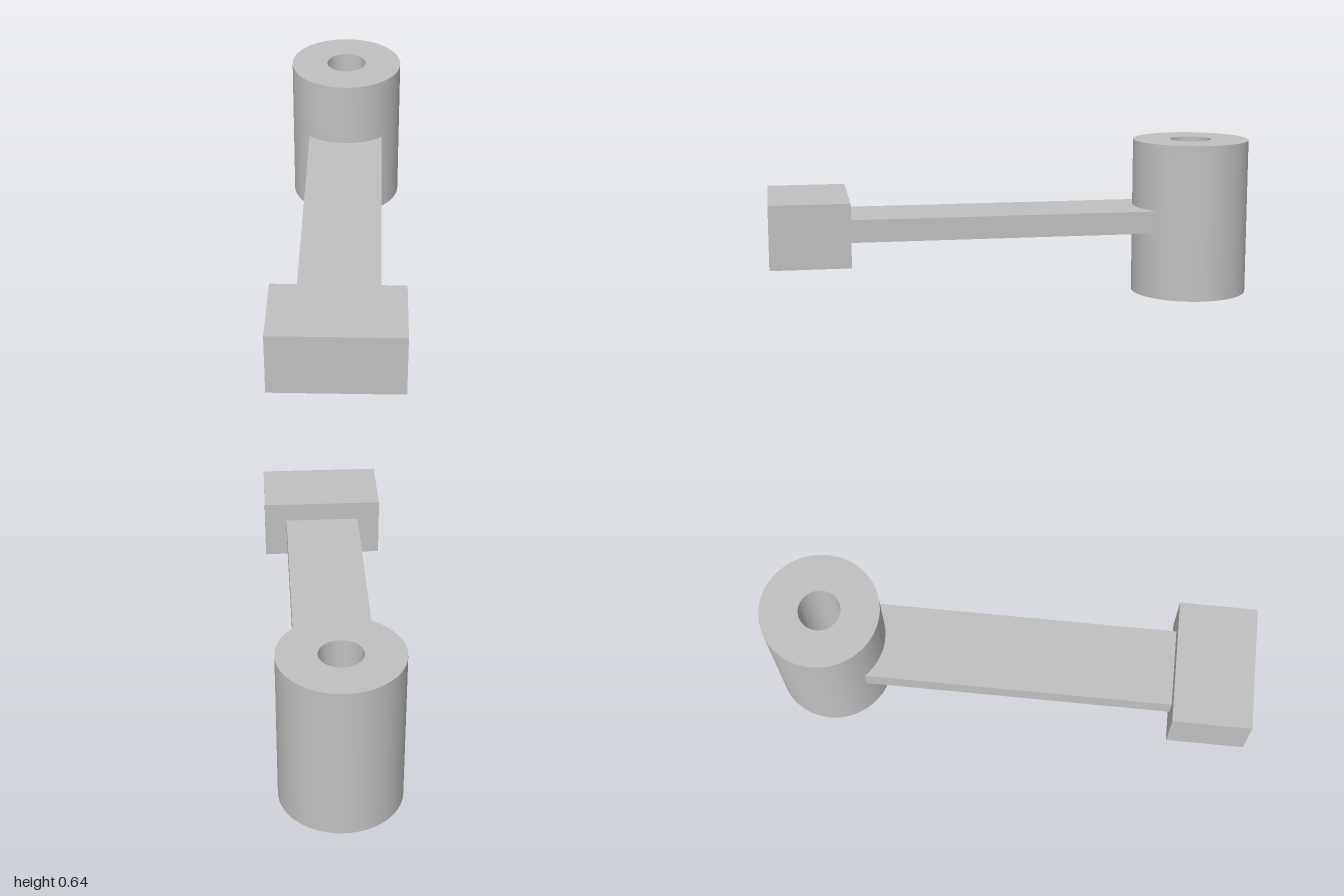
import * as THREE from 'three';
import { toCreasedNormals } from 'three/addons/utils/BufferGeometryUtils.js';

export function createModel() {
  const group = new THREE.Group();
  const grey = new THREE.MeshStandardMaterial({ color: 0xc0c0c0 });
  grey.name = 'plain grey';

  const add = (name, geometry, x, y, z) => {
    const mesh = new THREE.Mesh(geometry, grey);
    mesh.name = name;
    mesh.position.set(x, y, z);
    group.add(mesh);
  };

  // Upright hub with a bore right through it
  const outer = 0.241, bore = 0.085, height = 0.645;
  const profile = [[bore, 0], [outer, 0], [outer, height], [bore, height], [bore, 0]]
    .map(([r, y]) => new THREE.Vector2(r, y));
  add('hub', toCreasedNormals(new THREE.LatheGeometry(profile, 64), 0.6), 0, 0, -0.759);

  // Flat arm, its rear end buried in the hub wall
  const armBack = -0.62, armFront = 0.68;
  add('arm', new THREE.BoxGeometry(0.322, 0.092, armFront - armBack),
    0, height / 2, (armFront + armBack) / 2);

  // Block at the front end of the arm
  add('endBlock', new THREE.BoxGeometry(0.515, 0.257, 0.32), 0, height / 2, 0.84);

  return group;
}
